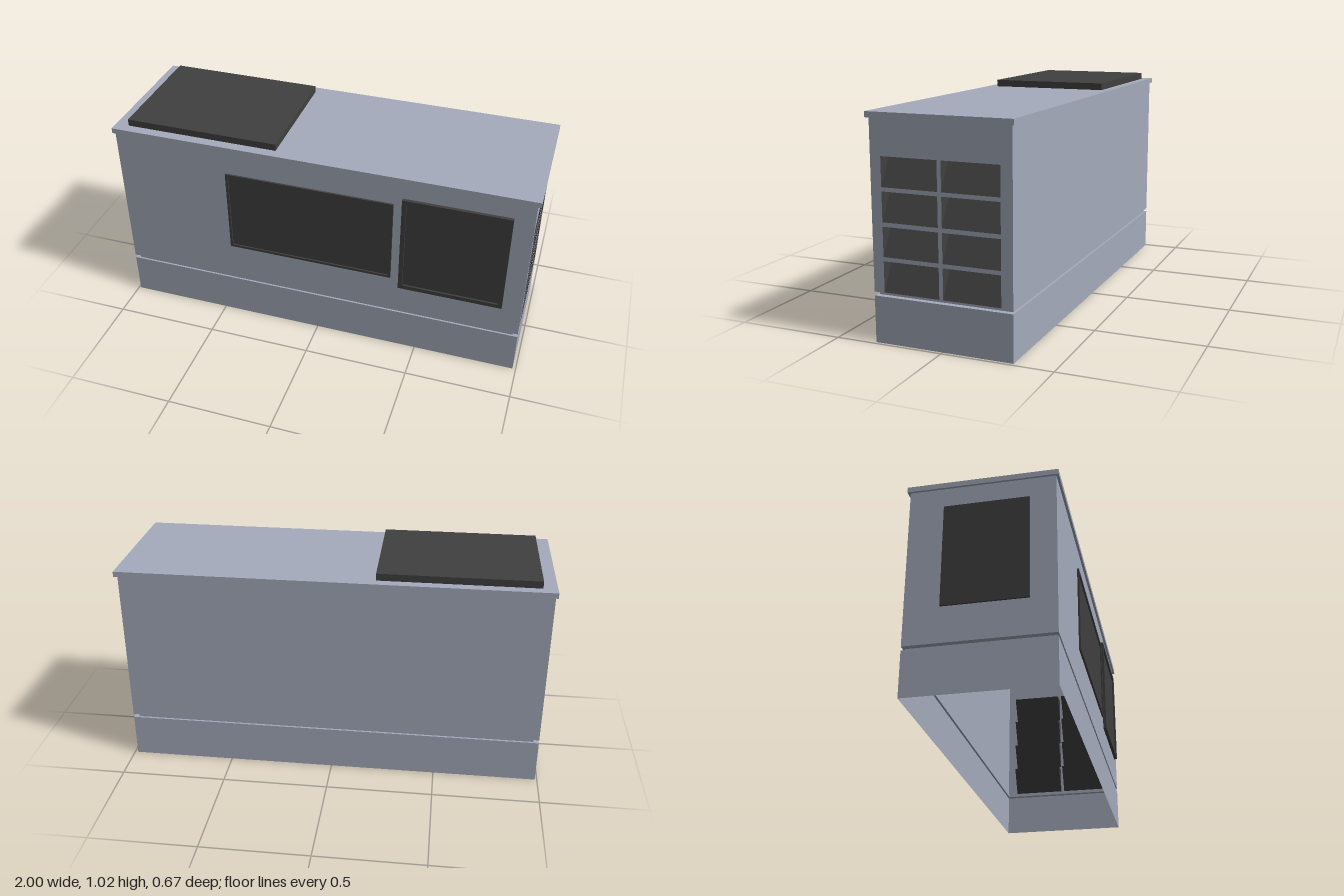
import * as THREE from 'three';

export function createModel() {
  const model = new THREE.Group();
  const paint = new THREE.MeshStandardMaterial({ color: 0xa4abbb, side: THREE.DoubleSide });
  paint.name = 'greyBlue';
  const dark = new THREE.MeshStandardMaterial({ color: 0x404040, side: THREE.DoubleSide });
  dark.name = 'charcoal';

  const add = (name, geometry, material, parent = model) => {
    const mesh = new THREE.Mesh(geometry, material);
    mesh.name = name;
    parent.add(mesh);
    return mesh;
  };
  // Box given by its two opposite corners
  const box = (name, x0, x1, y0, y1, z0, z1, material) =>
    add(name, new THREE.BoxGeometry(x1 - x0, y1 - y0, z1 - z0), material)
      .position.set((x0 + x1) / 2, (y0 + y1) / 2, (z0 + z1) / 2);
  // Rectangle outline with rectangular holes, each [a0, a1, b0, b1]
  const rect = ([a0, a1, b0, b1], holes = []) => {
    const path = (p, q) => p.setFromPoints(q.map(([a, b]) => new THREE.Vector2(a, b)));
    const corners = (l, r, d, u) => [[l, d], [r, d], [r, u], [l, u]];
    const shape = path(new THREE.Shape(), corners(a0, a1, b0, b1));
    for (const h of holes) shape.holes.push(path(new THREE.Path(), corners(...h)));
    return shape;
  };
  // Upright panel facing front/back, or facing a side
  const wall = (name, outline, at, sideways, holes) => {
    const m = add(name, new THREE.ShapeGeometry(rect(outline, holes)), paint);
    if (sideways) {
      m.rotation.y = -Math.PI / 2; // local x runs along z
      m.position.x = at;
    } else m.position.z = at;
  };

  const outer = { x0: -0.99, x1: 0.985, z0: -0.32, z1: 0.317 };
  const inner = { x0: -0.965, x1: 0.96, z0: -0.31, z1: 0.308 };

  // Display pockets on the +x end: two columns, four rows
  const pockets = [];
  for (const [z0, z1] of [[0.01, 0.268], [-0.268, -0.008]])
    for (const [y0, y1] of [[0.227, 0.363], [0.381, 0.511], [0.53, 0.66], [0.678, 0.807]])
      pockets.push([z0, z1, y0, y1]);

  // Hollow shell: plinth, recessed groove and cabinet
  const ring = (name, r, y0, y1, holes = []) => {
    wall(name + 'Front', [r.x0, r.x1, y0, y1], r.z1, false);
    wall(name + 'Back', [r.x0, r.x1, y0, y1], r.z0, false);
    wall(name + 'LeftEnd', [r.z0, r.z1, y0, y1], r.x1, true, holes);
    wall(name + 'RightEnd', [r.z0, r.z1, y0, y1], r.x0, true);
  };
  ring('plinth', outer, 0, 0.208);
  ring('groove', inner, 0.208, 0.225);
  ring('cabinet', outer, 0.225, 0.965, pockets);

  // Horizontal lips above and below the groove
  for (const [name, y] of [['plinthLip', 0.208], ['cabinetLip', 0.225]]) {
    const lip = add(name, new THREE.ShapeGeometry(rect(
      [outer.x0, outer.x1, -outer.z1, -outer.z0],
      [[inner.x0, inner.x1, -inner.z1, -inner.z0]])), paint);
    lip.rotation.x = -Math.PI / 2;
    lip.position.y = y;
  }

  // Countertop and raised pad
  box('countertop', -1, 1, 0.965, 0.99, -0.332, 0.328, paint);
  box('counterPad', -0.935, -0.2, 0.99, 1.023, -0.287, 0.281, dark);

  // Framed panels on the front
  const framed = (name, o, border, z0, z1, zPanel) => {
    const group = new THREE.Group();
    group.name = name;
    model.add(group);
    const opening = [o[0] + border, o[1] - border, o[2] + border, o[3] - border];
    add('frame', new THREE.ExtrudeGeometry(rect(o, [opening]),
      { depth: z1 - z0, bevelEnabled: false }), dark, group).position.z = z0;
    add('panel', new THREE.ShapeGeometry(rect(opening)), dark, group).position.z = zPanel;
  };
  framed('screen', [-0.44, 0.365, 0.42, 0.842], 0.012, 0.316, 0.326, 0.319);
  framed('door', [0.405, 0.895, 0.375, 0.88], 0.02, 0.315, 0.333, 0.324);

  // Thin panel on the -x end
  box('endPanel', -0.998, -0.99, 0.39, 0.87, -0.166, 0.204, dark);

  // Wedge-shaped pocket linings, deepest at the top
  const depth = 0.07;
  for (const [z0, z1, y0, y1] of pockets) {
    const X = outer.x1;
    const a = [X, y0, z1], b = [X, y0, z0], c = [X - depth, y1, z0], d = [X - depth, y1, z1];
    const e = [X, y1, z0], f = [X, y1, z1];
    const faces = [a, b, c, a, c, d, d, c, e, d, e, f, b, e, c, a, d, f];
    const g = new THREE.BufferGeometry();
    g.setAttribute('position', new THREE.Float32BufferAttribute(faces.flat(), 3));
    g.computeVertexNormals();
    add('displayPocket', g, dark);
  }
  return model;
}
